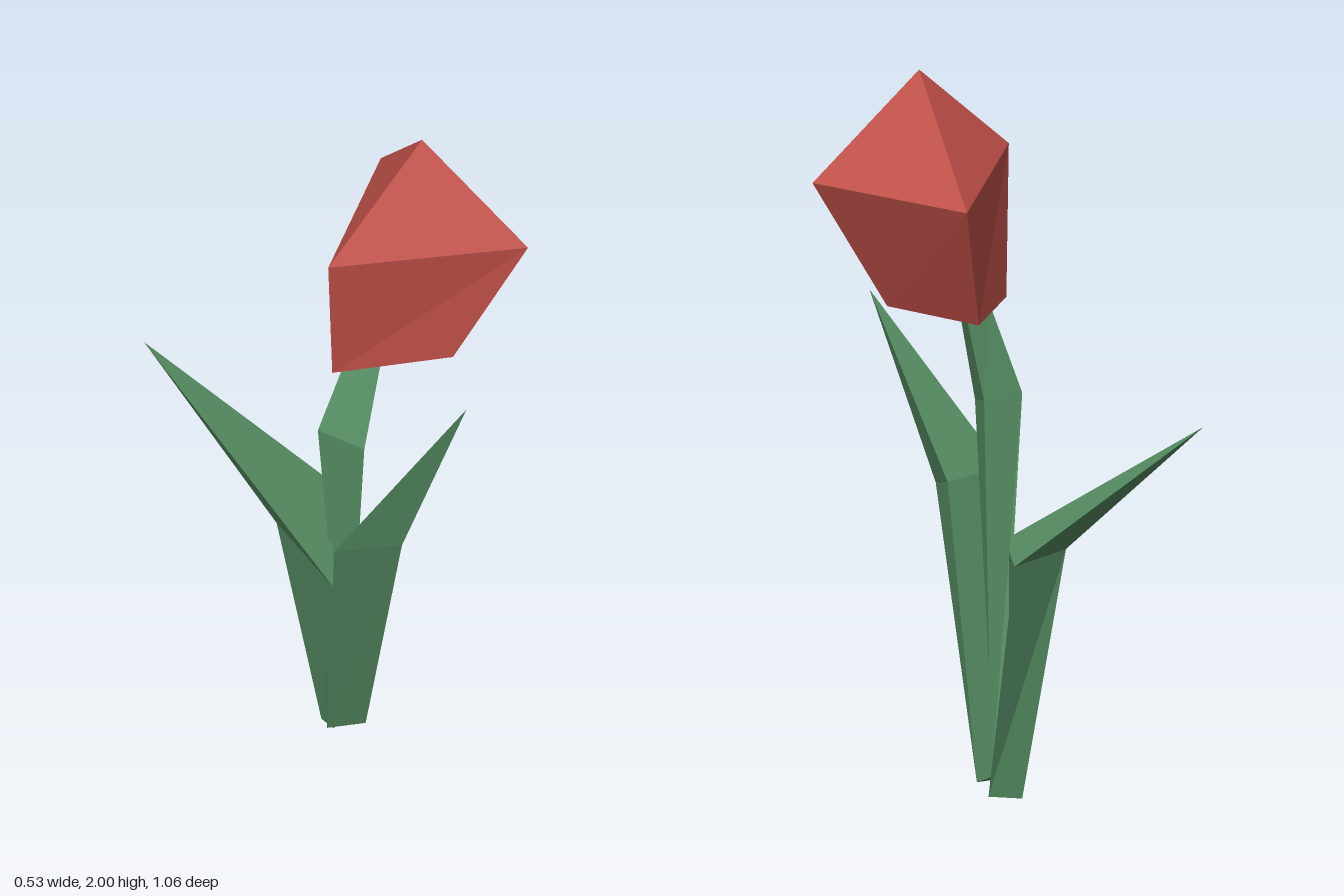
import * as THREE from 'three';

// Skins a stack of triangular cross-sections (each anticlockwise seen from above);
// a ring of one point closes the form in a tip.
function loft(name, color, rings) {
  const pos = [];
  const tri = (...pts) => pts.forEach((p) => pos.push(...p));
  for (let r = 0; r < rings.length - 1; r++) {
    const a = rings[r], b = rings[r + 1];
    for (let i = 0; i < 3; i++) {
      const j = (i + 1) % 3;
      if (b.length === 1) tri(a[i], a[j], b[0]);
      else {
        tri(a[i], a[j], b[j]);
        tri(a[i], b[j], b[i]);
      }
    }
  }
  // caps
  const first = rings[0], last = rings[rings.length - 1];
  tri(first[0], first[2], first[1]);
  if (last.length === 3) tri(...last);

  const geo = new THREE.BufferGeometry();
  geo.setAttribute('position', new THREE.Float32BufferAttribute(pos, 3));
  geo.computeVertexNormals();
  const mesh = new THREE.Mesh(geo, new THREE.MeshStandardMaterial({ color, flatShading: true }));
  mesh.name = name;
  return mesh;
}

export function createModel() {
  const GREEN = 0x5a9467, RED = 0xc9544c;
  const group = new THREE.Group();
  group.name = 'flower';

  group.add(
    // faceted bloom: narrow base, wide middle, pointed top
    loft('bloom', RED, [
      [[-0.18, 1.325, 0.16], [0.085, 1.325, 0.36], [0.1, 1.33, 0.04]],
      [[-0.25, 1.73, 0.205], [0.225, 1.675, 0.505], [0.265, 1.695, -0.045]],
      [[0.075, 2, 0.26]],
    ]),
    // bent stem, thin at the ground
    loft('stem', GREEN, [
      [[0.025, 0.06, 0.025], [0.03, 0.06, 0.04], [0.045, 0.06, 0.04]],
      [[-0.145, 1.08, 0.08], [-0.1, 1.05, 0.205], [-0.022, 1.08, 0.115]],
      [[-0.07, 1.33, 0.13], [-0.045, 1.33, 0.22], [0.015, 1.33, 0.15]],
    ]),
    // leaf leaning forward
    loft('frontLeaf', GREEN, [
      [[-0.06, 0.035, 0.04], [0.03, 0.03, 0.1], [0.045, 0.06, 0.035]],
      [[-0.265, 0.82, 0.24], [-0.1, 0.795, 0.337], [-0.025, 0.83, 0.24]],
      [[-0.06, 1.31, 0.53]],
    ]),
    // leaf leaning backward
    loft('backLeaf', GREEN, [
      [[0.11, 0.025, 0], [0, 0, -0.03], [-0.05, 0.035, 0.055]],
      [[0.12, 0.685, -0.095], [-0.115, 0.68, -0.09], [-0.2, 0.64, 0.18]],
      [[-0.145, 1.09, -0.53]],
    ]),
  );
  return group;
}
